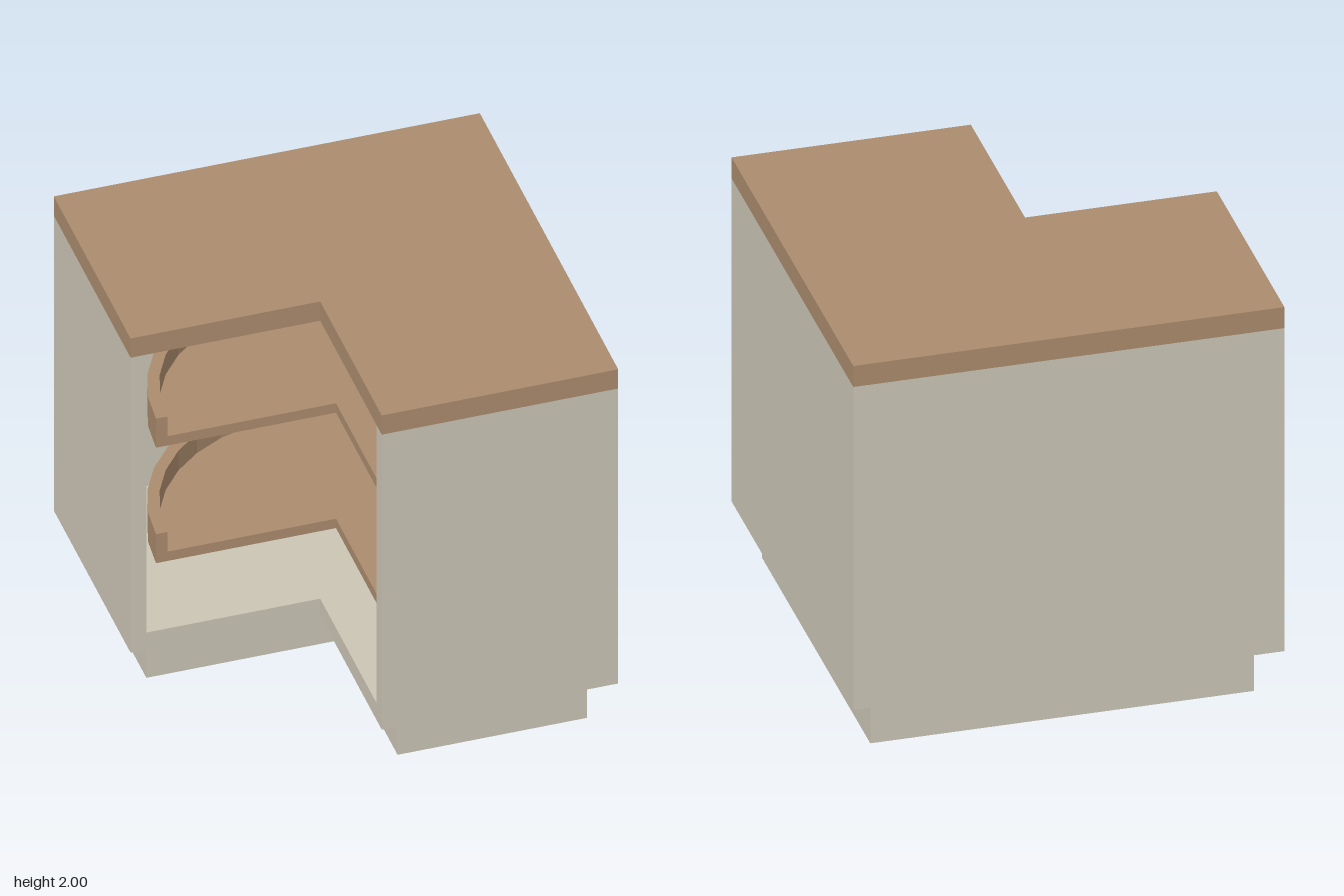
import * as THREE from 'three';

const stone = new THREE.MeshStandardMaterial({ color: 0xcbc5b5, flatShading: true });
const wood = new THREE.MeshStandardMaterial({ color: 0xab8b6d, flatShading: true });

// Prism from a plan outline of [x, z] points between two heights
function slab(name, plan, y0, y1, material) {
  const shape = new THREE.Shape(plan.map(([x, z]) => new THREE.Vector2(x, -z)));
  const geometry = new THREE.ExtrudeGeometry(shape, { depth: y1 - y0, bevelEnabled: false });
  geometry.rotateX(-Math.PI / 2).translate(0, y0, 0);
  const mesh = new THREE.Mesh(geometry, material);
  mesh.name = name;
  return mesh;
}

// L-shaped plan: a square of half-size h with its front right corner notched at (-n, n)
const ell = (h, n) => [[-h, n], [-h, -h], [h, -h], [h, h], [-n, h], [-n, n]];

// Three-quarter arc, open towards the notch
function arc(radius, segments = 24) {
  return Array.from({ length: segments + 1 }, (_, i) => {
    const a = -Math.PI / 2 + (i / segments) * 1.5 * Math.PI;
    return [radius * Math.cos(a), -radius * Math.sin(a)];
  });
}

export function createModel() {
  const model = new THREE.Group();
  model.name = 'cornerCabinet';
  const half = 1, notch = 0.11, inner = 0.925;
  const plinthTop = 0.245, floorTop = 0.34, wallTop = 1.893;

  model.add(slab('plinth', ell(0.89, 0), 0, plinthTop, stone));
  model.add(slab('cabinetFloor', ell(half, notch), plinthTop, floorTop, stone));

  // Outer walls, open along both faces of the notch
  const walls = [
    [-half, notch], [-half, -half], [half, -half], [half, half], [-notch, half],
    [-notch, inner], [inner, inner], [inner, -inner], [-inner, -inner], [-inner, notch],
  ];
  model.add(slab('walls', walls, floorTop, wallTop, stone));
  model.add(slab('worktop', ell(half, notch), wallTop, 2, wood));

  // Revolving trays: a three-quarter disc with a raised rim
  const outerR = 0.845, innerR = 0.79;
  [['lowerTray', 0.63], ['upperTray', 1.275]].forEach(([name, y]) => {
    const tray = new THREE.Group();
    tray.name = name;
    tray.add(slab('trayFloor', [[0, 0], ...arc(outerR)], y, y + 0.052, wood));
    tray.add(slab('trayRim', [...arc(outerR), ...arc(innerR).reverse()], y + 0.052, y + 0.162, wood));
    model.add(tray);
  });

  return model;
}
